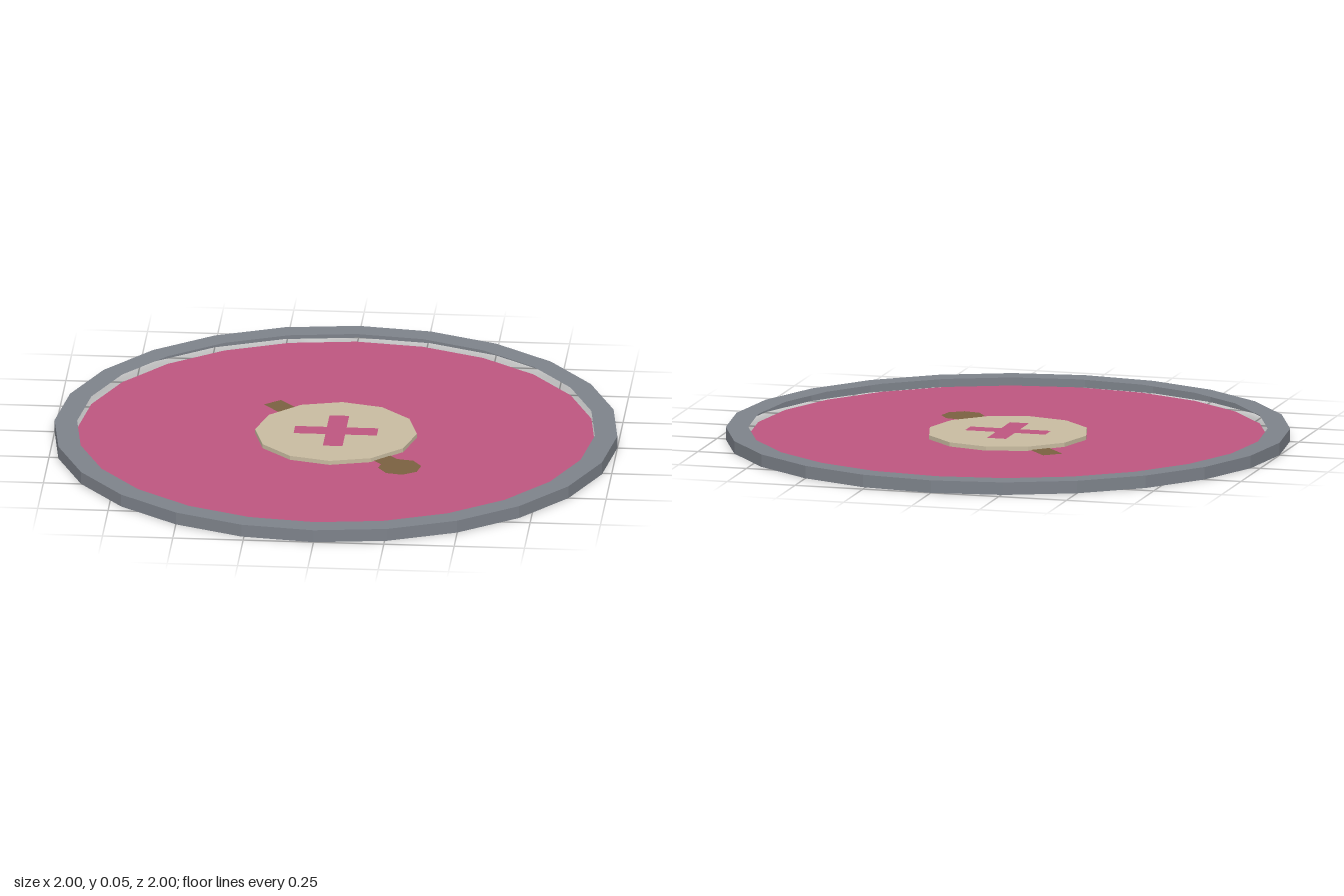
import * as THREE from 'three';

const makeMaterial = (name, color) => {
  const m = new THREE.MeshStandardMaterial({ color, flatShading: true, side: THREE.DoubleSide });
  m.name = name;
  return m;
};

export function createModel() {
  const grey = makeMaterial('rimGrey', 0x7d828a);
  const pink = makeMaterial('pink', 0xbd567f);
  const cream = makeMaterial('cream', 0xc8bba0);
  const brown = makeMaterial('brown', 0x7a6040);

  const model = new THREE.Group();
  const add = (name, geometry, material, x = 0, y = 0, z = 0) => {
    const mesh = new THREE.Mesh(geometry, material);
    mesh.name = name;
    mesh.position.set(x, y, z);
    model.add(mesh);
    return mesh;
  };
  // lay a flat geometry on the ground, facing up
  const flat = (geometry) => geometry.rotateX(-Math.PI / 2);

  const rimHeight = 0.045;
  const discY = 0.016;
  const badgeTop = 0.032;

  // rim: flat top band and outer wall, open inside and below
  add('rimTop', flat(new THREE.RingGeometry(0.92, 1, 24)), grey, 0, rimHeight);
  add('rimWall', new THREE.CylinderGeometry(1, 1, rimHeight, 24, 1, true), grey, 0, rimHeight / 2);

  // sunken disc
  add('disc', flat(new THREE.CircleGeometry(0.92, 24)), pink, 0, discY);

  // pin lying diagonally under the badge, with a round head
  const tail = new THREE.Vector2(-0.25, -0.3);
  const head = new THREE.Vector2(0.25, 0.295);
  const mid = tail.clone().add(head).multiplyScalar(0.5);
  const span = head.clone().sub(tail);
  const bar = add('pinBar', flat(new THREE.PlaneGeometry(span.length(), 0.075)), brown, mid.x, discY + 0.003, mid.y);
  bar.rotation.y = -Math.atan2(span.y, span.x);
  const knob = add('pinHead', flat(new THREE.CircleGeometry(0.077, 8)), brown, head.x, discY + 0.004, head.y);
  knob.rotation.y = Math.PI / 16;

  // raised twelve-sided badge
  const badgeHeight = badgeTop - discY - 0.001;
  add('badge', new THREE.CylinderGeometry(0.288, 0.288, badgeHeight, 12), cream, 0, badgeTop - badgeHeight / 2);

  // cross on the badge
  const a = 0.148, w = 0.035;
  const corners = [[w, w], [w, a], [-w, a], [-w, w], [-a, w], [-a, -w],
    [-w, -w], [-w, -a], [w, -a], [w, -w], [a, -w], [a, w]];
  const crossShape = new THREE.Shape(corners.map(([x, y]) => new THREE.Vector2(x, y)));
  add('cross', flat(new THREE.ShapeGeometry(crossShape)), pink, 0, badgeTop + 0.003);

  return model;
}
